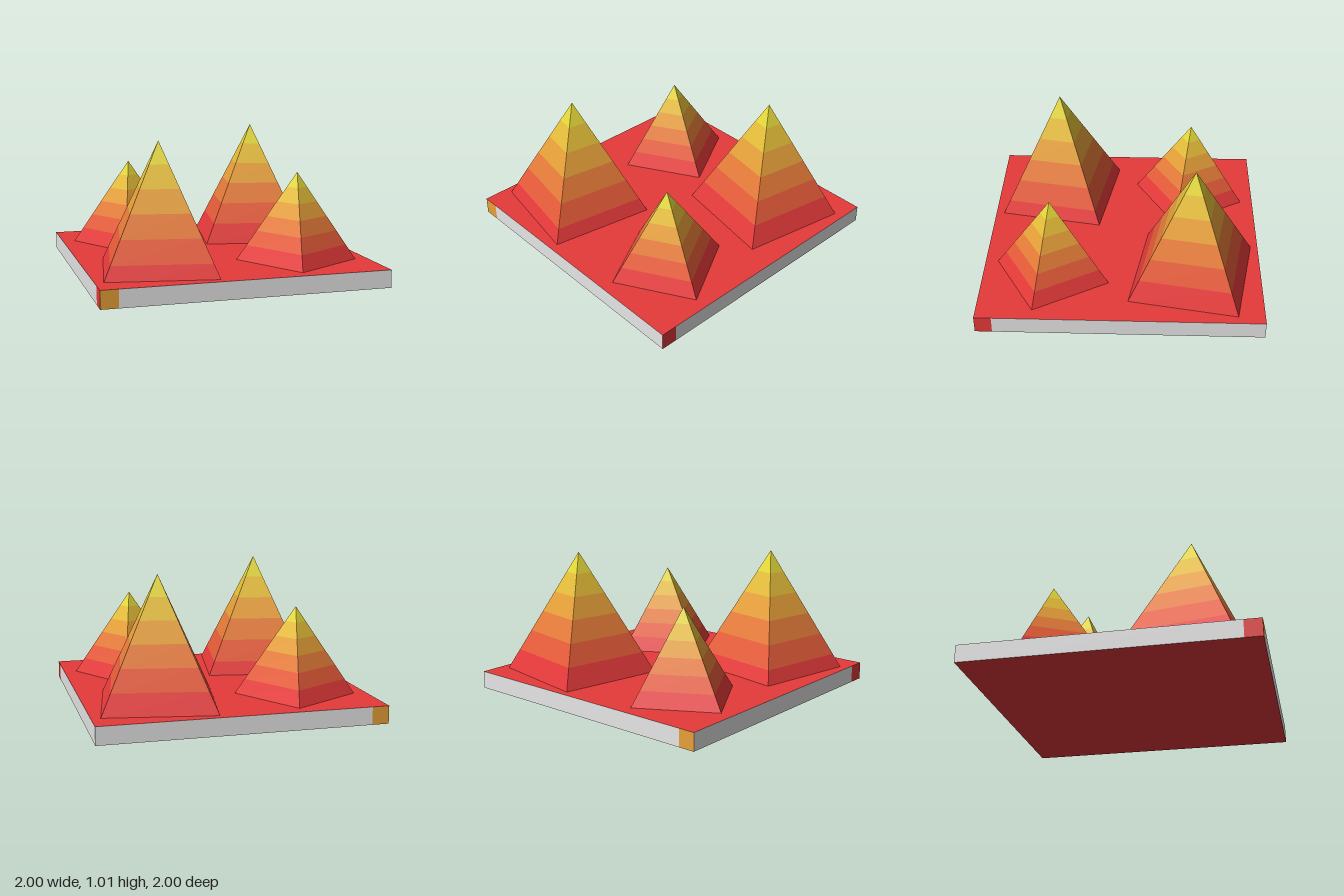
import * as THREE from 'three';

// Flat colours: six pyramid bands from base to tip, plus the slab edge
const paint = (name, color) => {
  const m = new THREE.MeshStandardMaterial({ color });
  m.name = name;
  return m;
};
const bands = [
  paint('red', 0xe63a3a),
  paint('vermilion', 0xe65c39),
  paint('orange', 0xe67c39),
  paint('amber', 0xe6a039),
  paint('gold', 0xe6be39),
  paint('yellow', 0xe6d93a),
];
const edgeGrey = paint('edgeGrey', 0xe6e6e6);
const [red, , , amber] = bands;

const SLAB = 0.125; // slab thickness
const TAB = 0.12;   // width of the coloured corner cells

// Four-sided pyramid made of six equal bands
function pyramid(name, x, z, bottom, top, radius, degrees) {
  const group = new THREE.Group();
  group.name = name;
  const n = bands.length, step = (top - bottom) / n;
  bands.forEach((material, i) => {
    const low = radius * (1 - i / n), high = radius * (1 - (i + 1) / n);
    const geo = (i === n - 1
      ? new THREE.ConeGeometry(low, step, 4, 1, true)
      : new THREE.CylinderGeometry(high, low, step, 4, 1, true)).toNonIndexed();
    geo.computeVertexNormals();
    const mesh = new THREE.Mesh(geo, material);
    mesh.name = `${name}Band${i + 1}`;
    mesh.position.y = bottom + step * (i + 0.5);
    group.add(mesh);
  });
  group.position.set(x, 0, z);
  group.rotation.y = THREE.MathUtils.degToRad(degrees);
  return group;
}

// Rectangular face of the slab, turned to point outward
function face(name, w, h, material, pos, rx, ry) {
  const mesh = new THREE.Mesh(new THREE.PlaneGeometry(w, h), material);
  mesh.name = name;
  mesh.position.set(...pos);
  mesh.rotation.set(rx, ry, 0);
  return mesh;
}

function slab() {
  const group = new THREE.Group();
  group.name = 'baseSlab';
  const y = SLAB / 2, long = 2 - TAB, tabAt = 1 - TAB / 2, q = Math.PI / 2;
  group.add(face('slabTop', 2, 2, red, [0, SLAB, 0], -q, 0));
  group.add(face('slabBottom', 2, 2, red, [0, 0, 0], q, 0));
  for (const s of [1, -1]) {
    // front and back edges: amber cell at the -x end
    const turn = s > 0 ? 0 : Math.PI;
    group.add(face('edgeFrontBack', long, SLAB, edgeGrey, [TAB / 2, y, s], 0, turn));
    group.add(face('amberCell', TAB, SLAB, amber, [-tabAt, y, s], 0, turn));
    // left and right edges: red cell at the +z end
    group.add(face('edgeSide', long, SLAB, edgeGrey, [s, y, -TAB / 2], 0, s * q));
    group.add(face('redCell', TAB, SLAB, red, [s, y, tabAt], 0, s * q));
  }
  return group;
}

export function createModel() {
  const model = new THREE.Group();
  model.name = 'pyramidBoard';
  model.add(
    slab(),
    pyramid('largePyramidFront', -0.5, 0.5, 0.067, 1.0, 0.574, 35),
    pyramid('largePyramidBack', 0.487, -0.5, 0.123, 1.01, 0.549, 35),
    pyramid('smallPyramidFront', 0.5, 0.5, SLAB, 0.75, 0.424, -15),
    pyramid('smallPyramidBack', -0.5, -0.5, SLAB, 0.75, 0.424, -15),
  );
  return model;
}
